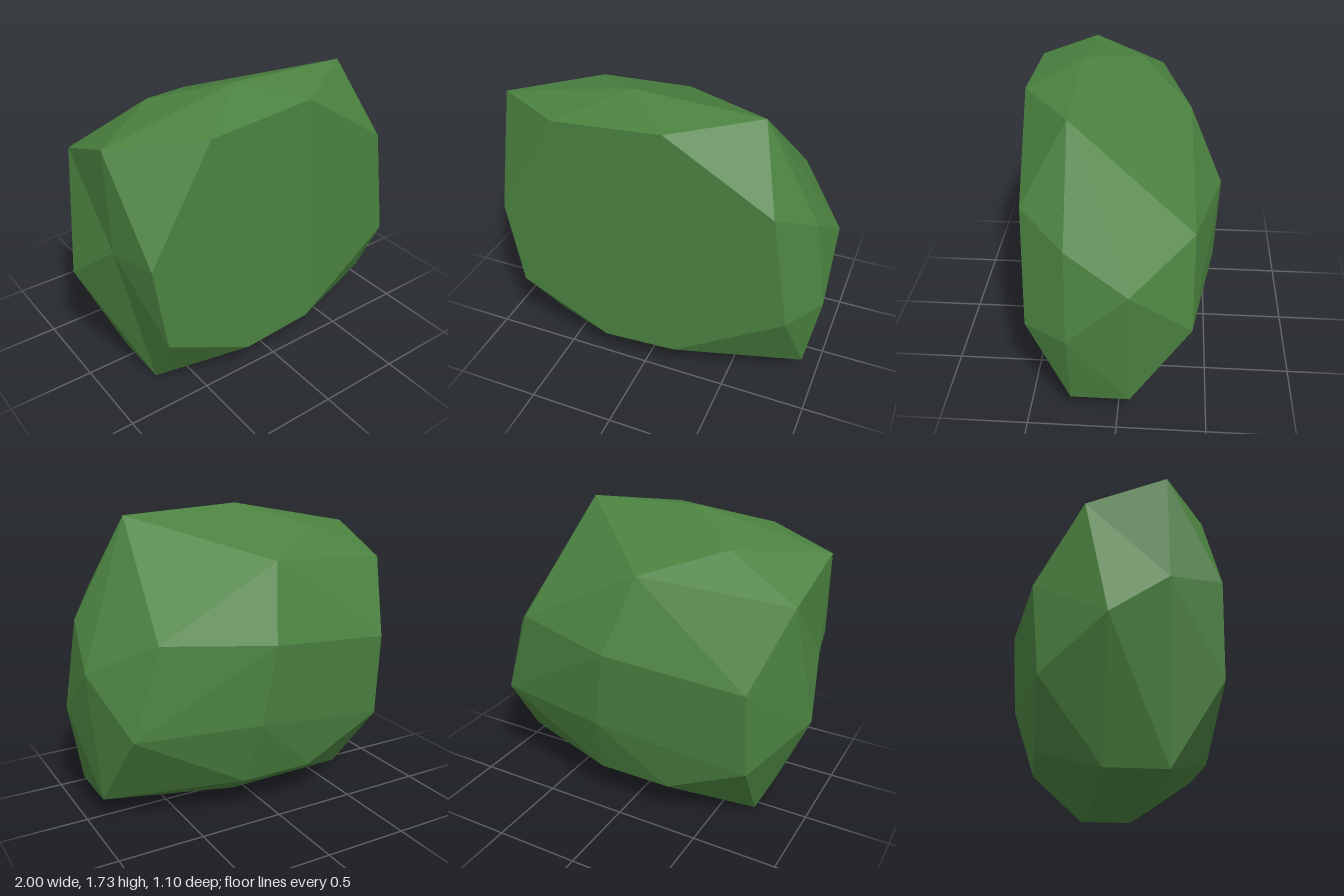
import * as THREE from 'three';

const ring = (z, pts) => pts.map(([x, y, ownZ]) => new THREE.Vector3(x, y, ownZ ?? z));

// Skin two closed rings (front, back), always taking the outermost facet
function stitch(F, G, tris) {
  let i = 0, j = 0;
  const nF = F.length, nG = G.length;
  while (i < nF || j < nG) {
    const f = F[i % nF], f1 = F[(i + 1) % nF], g = G[j % nG], g1 = G[(j + 1) % nG];
    let takeFront;
    if (j >= nG) takeFront = true;
    else if (i >= nF) takeFront = false;
    else if (f1.equals(g)) takeFront = true;
    else if (g1.equals(f)) takeFront = false;
    else {
      const n = f1.clone().sub(f).cross(g.clone().sub(f));
      takeFront = n.dot(g1.clone().sub(f)) <= 0;
    }
    tris.push(takeFront ? [f, f1, g] : [f, g1, g]);
    if (takeFront) i++; else j++;
  }
}

export function createModel() {
  const green = new THREE.MeshStandardMaterial({ color: 0x4b8240, flatShading: true });
  green.name = 'leaf green';

  // Cross-sections from front to back, each running clockwise from the -x side
  const rings = [
    ring(0.545, [[-0.85, 0.98], [-0.48, 1.61], [0.15, 1.66], [0.74, 1.27, 0.5],
      [0.85, 0.6, 0.5], [0.21, 0.22], [-0.23, 0.19], [-0.77, 0.46]]),
    ring(0.26, [[-0.91, 0.97], [-0.93, 1.57], [-0.13, 1.73], [0.6, 1.7], [0.92, 1.13],
      [1, 0.61], [0.92, 0.14], [0.07, 0], [-0.7, 0.01]]),
    ring(-0.07, [[-0.9, 1.4, -0.18], [-0.47, 1.61], [-0.05, 1.48, -0.36], [0.69, 1.11, -0.4],
      [0.985, 0.91], [0.92, 0.14], [0.07, 0], [-0.7, 0.01], [-1, 0.7]]),
    ring(-0.4, [[-0.75, 0.97, -0.44], [-0.05, 1.48, -0.36], [0.69, 1.11], [0.85, 0.6],
      [0.18, 0.22], [-0.27, 0.22], [-0.76, 0.46]]),
    ring(-0.55, [[0.06, 1.06], [0.13, 0.6, -0.525]]),
  ];

  const tris = [];
  for (let k = 0; k < rings.length - 1; k++) stitch(rings[k], rings[k + 1], tris);

  // Broad front facet, fanned from its upper corner
  const front = rings[0], n = front.length, hub = 2;
  for (let k = 1; k < n - 1; k++) {
    tris.push([front[hub], front[(hub + k + 1) % n], front[(hub + k) % n]]);
  }

  const solid = tris.filter(([a, b, c]) => new THREE.Triangle(a, b, c).getArea() > 1e-6);
  const geometry = new THREE.BufferGeometry().setFromPoints(solid.flat());
  geometry.computeVertexNormals();

  const mesh = new THREE.Mesh(geometry, green);
  mesh.name = 'foliageClump';
  const group = new THREE.Group();
  group.name = 'bush';
  group.add(mesh);
  return group;
}
